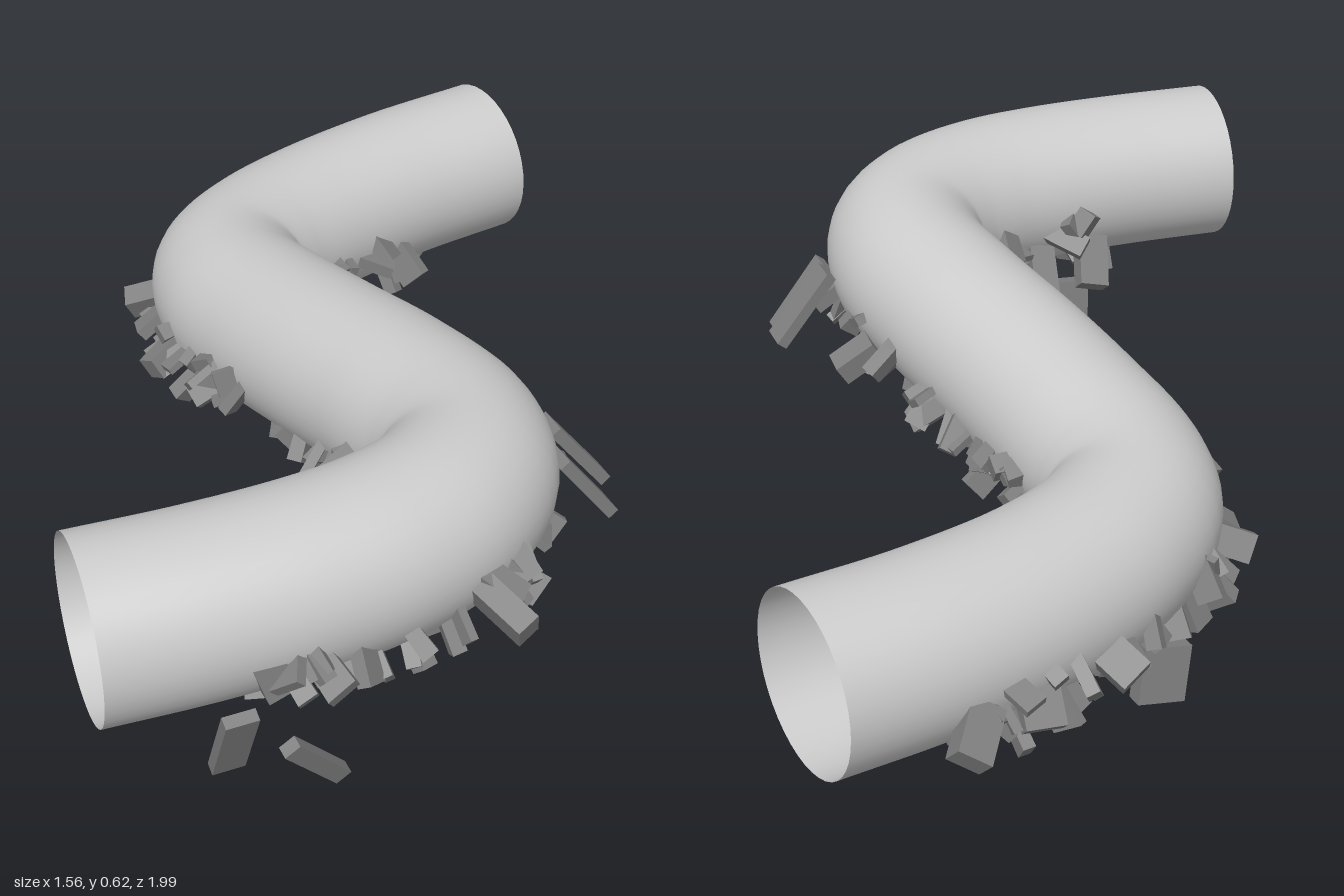
import * as THREE from 'three';
import { mergeGeometries } from 'three/addons/utils/BufferGeometryUtils.js';

const RADIUS = 0.179;

// small seeded generator so the rubble is always the same
function seeded(seed) {
  return () => {
    seed = (seed * 1664525 + 1013904223) >>> 0;
    return seed / 4294967296;
  };
}

// slab whose long axis runs from a (low end) to b; roll turns it about that axis, taper narrows the end at b
function slab(a, b, width, depth, roll = 0, taper = 1) {
  const dir = b.clone().sub(a);
  const geo = new THREE.BoxGeometry(width, dir.length(), depth);
  const pos = geo.attributes.position;
  for (let i = 0; i < pos.count; i++) {
    if (pos.getY(i) > 0 && pos.getX(i) > 0) pos.setX(i, pos.getX(i) * taper);
  }
  geo.computeVertexNormals();
  geo.rotateY(roll);
  const q = new THREE.Quaternion().setFromUnitVectors(new THREE.Vector3(0, 1, 0), dir.normalize());
  geo.applyQuaternion(q);
  const mid = a.clone().add(b).multiplyScalar(0.5);
  return geo.translate(mid.x, mid.y, mid.z);
}

export function createModel() {
  const group = new THREE.Group();
  const V = (x, y, z) => new THREE.Vector3(x, y, z);

  // S-shaped centre line, sinking from the front end to the back end
  const path = new THREE.CatmullRomCurve3([
    V(-0.768, 0.44, 0.697), V(-0.55, 0.443, 0.714), V(-0.34, 0.446, 0.716), V(-0.18, 0.447, 0.698),
    V(-0.04, 0.445, 0.647), V(0.055, 0.438, 0.56), V(0.09, 0.428, 0.43), V(0.063, 0.405, 0.22),
    V(0.015, 0.373, 0), V(-0.022, 0.34, -0.2), V(-0.043, 0.312, -0.38), V(-0.015, 0.298, -0.5),
    V(0.085, 0.29, -0.595), V(0.25, 0.287, -0.675), V(0.5, 0.29, -0.745), V(0.755, 0.294, -0.785),
  ], false, 'centripetal');

  // open pipe
  const pipe = new THREE.Mesh(
    new THREE.TubeGeometry(path, 96, RADIUS, 40, false),
    new THREE.MeshStandardMaterial({ color: 0xcccccc, side: THREE.DoubleSide }),
  );
  pipe.name = 'pipe';
  group.add(pipe);

  // rubble stuck through the lower flanks of the pipe, nearly flush along its underside
  const rnd = seeded(2024);
  const span = (lo, hi) => lo + (hi - lo) * rnd();
  const up = V(0, 1, 0);
  const pieces = [];
  const COUNT = 210;
  for (let i = 0; i < COUNT; i++) {
    const t = 0.11 + 0.80 * (i + rnd()) / COUNT;
    const centre = path.getPointAt(t);
    const side = path.getTangentAt(t).cross(up).normalize();
    const flank = rnd() < 0.72;
    const angle = (rnd() < 0.5 ? -1 : 1) * (flank ? span(0.75, 1.5) : span(0, 0.75));
    const out = side.multiplyScalar(Math.sin(angle)).addScaledVector(up, -Math.cos(angle));
    const spot = centre.addScaledVector(out, RADIUS);
    const lean = out.clone().add(V(span(-0.5, 0.5), span(-0.9, 0.1), span(-0.5, 0.5))).normalize();
    const reach = flank ? span(0.02, 0.075) : span(0.004, 0.025);
    pieces.push(slab(
      spot.clone().addScaledVector(lean, reach), spot.clone().addScaledVector(lean, -span(0.03, 0.11)),
      span(0.03, 0.07), span(0.015, 0.036), span(0, Math.PI), span(0.5, 1),
    ));
  }
  const stone = new THREE.MeshStandardMaterial({ color: 0x808080, flatShading: true });
  const rubble = new THREE.Mesh(mergeGeometries(pieces), stone);
  rubble.name = 'rubble';
  group.add(rubble);

  // larger slabs that stick out or hang free
  const large = [
    [V(-0.54, 0.13, 0.81), V(-0.54, 0.31, 0.89), 0.065, 0.025],
    [V(-0.36, 0.14, 0.92), V(-0.48, 0.29, 0.97), 0.035, 0.025],
    [V(0.40, 0.29, 0.475), V(0.28, 0.44, 0.47), 0.025, 0.065],
    [V(0.375, 0.27, 0.555), V(0.26, 0.42, 0.55), 0.025, 0.065],
    [V(0, 0.37, 0.94), V(-0.05, 0.41, 0.82), 0.05, 0.06],
    [V(0.03, 0.014, -0.725), V(0.01, 0.13, -0.71), 0.10, 0.04],
    [V(-0.30, 0.17, 0.50), V(-0.31, 0.28, 0.52), 0.12, 0.04],
    [V(-0.37, 0.27, 0.48), V(-0.40, 0.36, 0.56), 0.07, 0.04],
    [V(-0.24, 0.27, 0.45), V(-0.27, 0.35, 0.56), 0.06, 0.04],
    [V(-0.46, 0.34, 0.88), V(-0.49, 0.43, 0.87), 0.06, 0.04],
    [V(0.52, 0.19, -0.98), V(0.46, 0.24, -0.90), 0.07, 0.05],
    [V(0.35, 0.17, -0.92), V(0.34, 0.25, -0.84), 0.08, 0.03],
    [V(0.15, 0.20, -0.88), V(0.20, 0.25, -0.80), 0.07, 0.04],
    [V(-0.23, 0.22, -0.60), V(-0.15, 0.25, -0.56), 0.06, 0.05],
    [V(-0.28, 0.23, -0.31), V(-0.20, 0.26, -0.35), 0.05, 0.05],
    [V(0.32, 0.29, 0.29), V(0.24, 0.34, 0.28), 0.05, 0.06],
  ];
  const slabs = new THREE.Mesh(mergeGeometries(large.map((args) => slab(...args))), stone);
  slabs.name = 'largeSlabs';
  group.add(slabs);

  return group;
}
